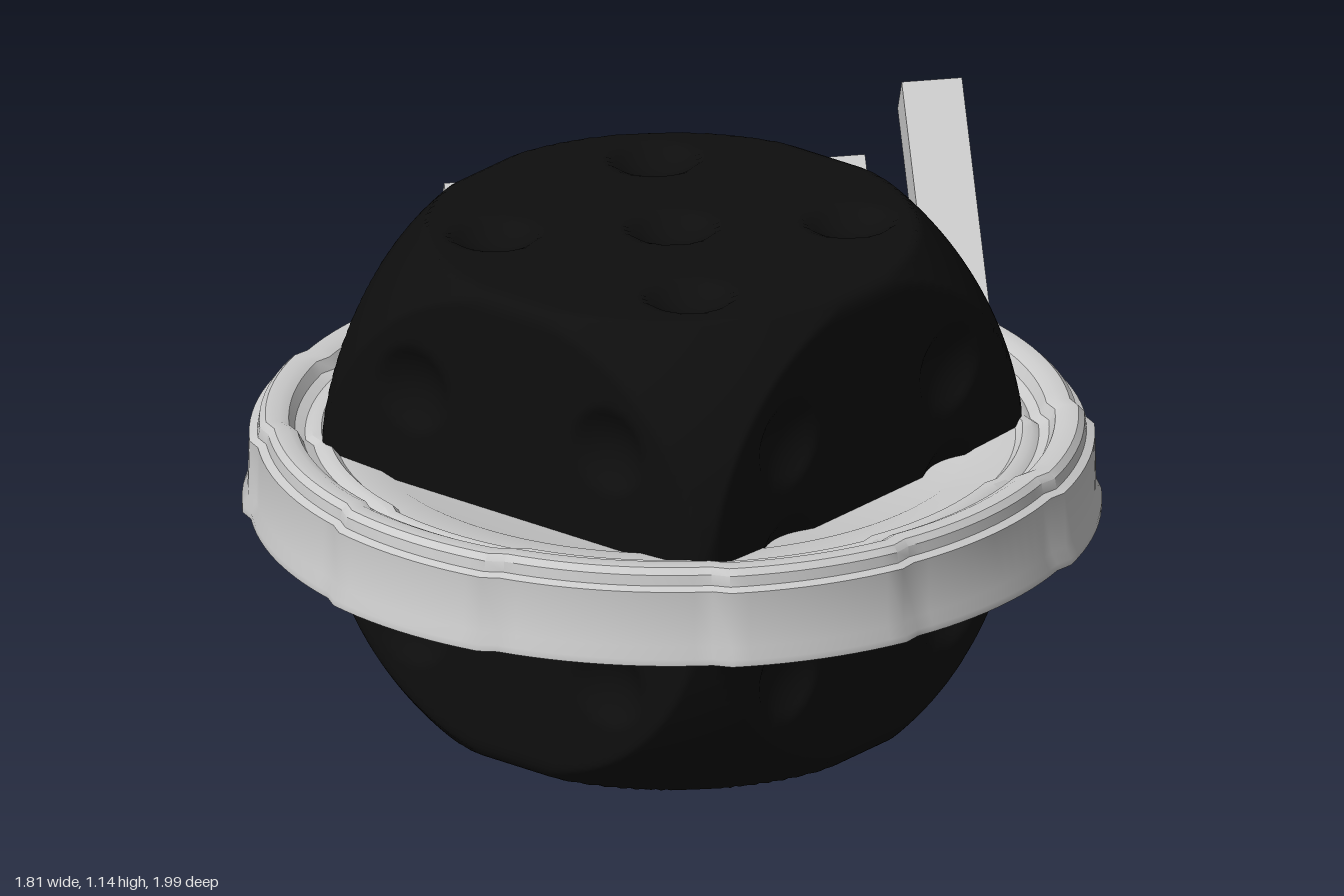
import * as THREE from 'three';
import { mergeVertices, toCreasedNormals } from 'three/addons/utils/BufferGeometryUtils.js';

const grey = new THREE.MeshStandardMaterial({ color: 0xcccccc });
const black = new THREE.MeshStandardMaterial({ color: 0x0e0e0e });
const CENTRE_Z = 0.075;

function addMesh(parent, name, geometry, material) {
  const mesh = new THREE.Mesh(geometry, material);
  mesh.name = name;
  parent.add(mesh);
  return mesh;
}

// Cube trimmed by a sphere, with round dimples for the pips
function dieGeometry() {
  const H = 0.543, EDGE = 0.04, SPHERE = 0.757, PIP = 0.097, S = 0.27;
  const four = [[-S, -S], [S, -S], [-S, S], [S, S]];
  const pips = {
    '+y': [...four, [0, 0]],
    '-y': [[S, -S], [-S, S]],
    '+z': four,
    '-z': [[-S, -S], [0, 0], [S, S]],
    '+x': [...four, [0, -S], [0, S]].map(([a, b]) => [a, b === 0 ? 0 : b]).map(([a, b]) => (a === 0 ? [0, b] : [a, b])),
    '-x': [[0, 0]],
  };
  // the six pips sit in two rows, the middle pair at mid height
  pips['+x'] = [...four, [0, -S], [0, S]];

  let g = new THREE.BoxGeometry(2 * H, 2 * H, 2 * H, 72, 72, 72);
  g.deleteAttribute('normal');
  g.deleteAttribute('uv');
  g = mergeVertices(g, 1e-4);
  const pos = g.attributes.position;
  const p = new THREE.Vector3(), core = new THREE.Vector3();
  const inner = H - EDGE;
  for (let i = 0; i < pos.count; i++) {
    p.fromBufferAttribute(pos, i);
    const axis = ['x', 'y', 'z'].find((a) => Math.abs(p[a]) > H - 1e-4);
    const [a, b] = { x: ['y', 'z'], y: ['x', 'z'], z: ['x', 'y'] }[axis];
    const sign = Math.sign(p[axis]);
    let dent = 0;
    for (const [pa, pb] of pips[(sign > 0 ? '+' : '-') + axis]) {
      const d = Math.hypot(p[a] - pa, p[b] - pb) / PIP;
      if (d < 1) dent = 0.035 * (1 - d * d);
    }
    // rounded edges, then corners pulled onto the sphere
    core.copy(p).clampScalar(-inner, inner);
    p.sub(core).setLength(EDGE).add(core);
    if (p.length() > SPHERE) p.setLength(SPHERE);
    p[axis] -= sign * dent;
    pos.setXYZ(i, p.x, p.y, p.z);
  }
  g.computeVertexNormals();
  return g;
}

// Turned disc with a raised rim; every other twelfth of the rim stands out
function discGeometry() {
  const profile = [
    [0, 0.48], [0.905, 0.48], [0.905, 0.495], [0.893, 0.52], [0.89, 0.645],
    [0.872, 0.652], [0.868, 0.675], [0.855, 0.688], [0.825, 0.69], [0.805, 0.68],
    [0.792, 0.655], [0.77, 0.645], [0.755, 0.655], [0.735, 0.655], [0.72, 0.64],
    [0.65, 0.635], [0.63, 0.625], [0, 0.625],
  ].map(([r, y]) => new THREE.Vector2(r, y));
  const g = new THREE.LatheGeometry(profile, 144);
  const pos = g.attributes.position;
  for (let i = 0; i < pos.count; i++) {
    const x = pos.getX(i), y = pos.getY(i), z = pos.getZ(i);
    const r = Math.hypot(x, z);
    if (r < 0.7) continue;
    const raised = Math.cos(6 * Math.atan2(x, z)) > 0.001;
    const k = (r + (raised ? 0.015 : 0)) / r;
    pos.setXYZ(i, x * k, y, z * k);
  }
  g.deleteAttribute('uv');
  return toCreasedNormals(g, 0.6);
}

// Square bar running down from the centre of its upper end
function addShard(parent, name, end, width, height, length) {
  const dir = new THREE.Vector3(1, -1.25, 0.9).normalize();
  const across = dir.clone().cross(new THREE.Vector3(0.51, 0.69, 0.51)).normalize();
  const up = across.clone().cross(dir).normalize();
  const mesh = addMesh(parent, name, new THREE.BoxGeometry(width, height, length), grey);
  const z = across.clone().cross(up);
  mesh.quaternion.setFromRotationMatrix(new THREE.Matrix4().makeBasis(across, up, z));
  mesh.position.set(...end).addScaledVector(dir, length / 2);
}

export function createModel() {
  const model = new THREE.Group();
  model.name = 'dieThroughDisc';

  addMesh(model, 'die', dieGeometry(), black).position.set(0, 0.577, CENTRE_Z);
  addMesh(model, 'disc', discGeometry(), grey).position.z = CENTRE_Z;

  // Shards piercing the die and the disc from behind
  addShard(model, 'backShard', [-0.1, 1.085, -0.915], 0.13, 0.137, 1.07);
  addShard(model, 'middleShard', [-0.19, 0.955, -0.64], 0.2, 0.2, 0.7);
  addShard(model, 'sideShard', [-0.71, 0.95, -0.1], 0.11, 0.14, 0.6);

  // Point of a shard showing under the die
  const tip = addMesh(model, 'shardTip', new THREE.ConeGeometry(0.06, 0.06, 3).toNonIndexed(), grey);
  tip.geometry.computeVertexNormals();
  tip.rotation.x = Math.PI;
  tip.position.set(0.18, 0.03, 0.19);

  return model;
}
